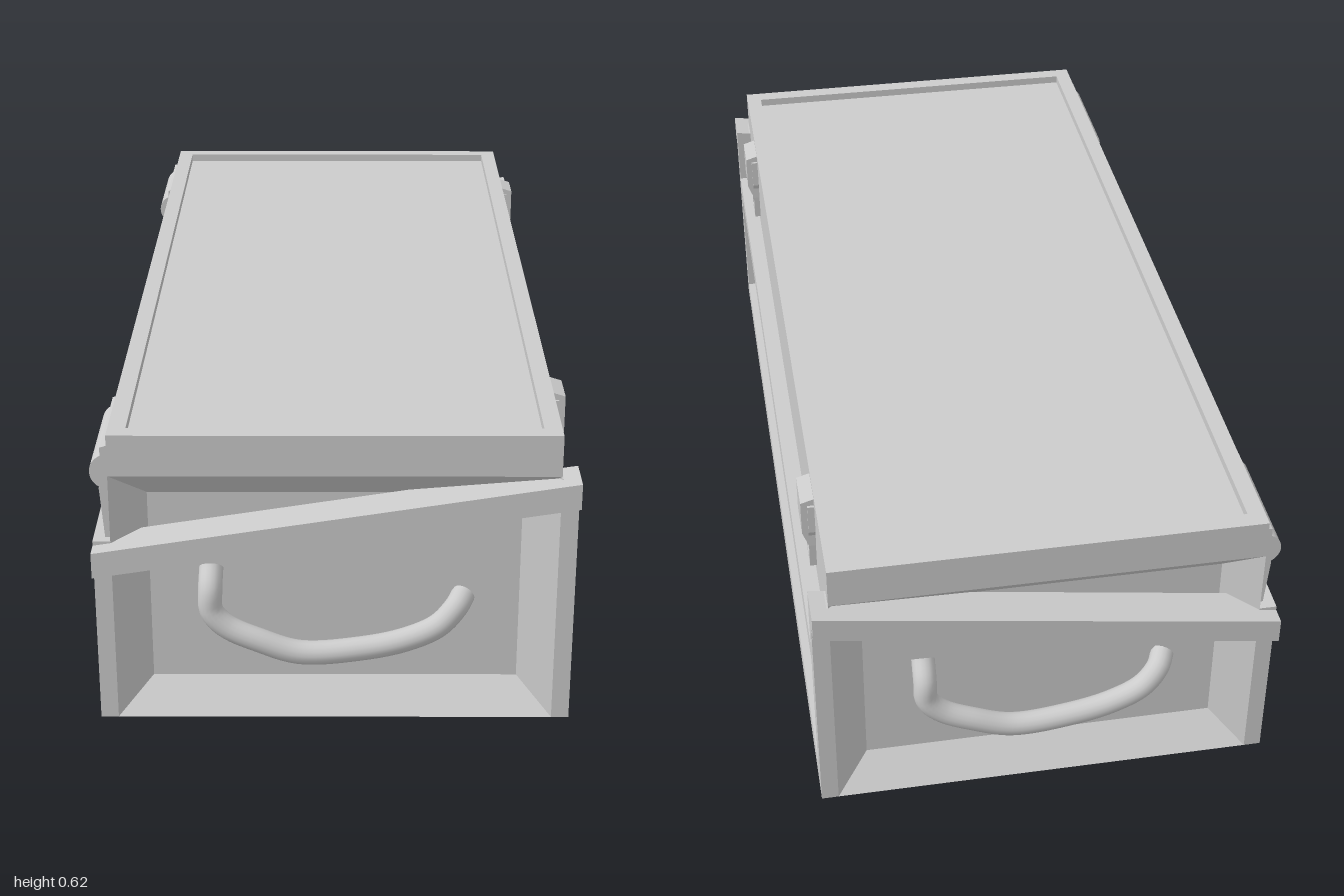
import * as THREE from 'three';

const material = new THREE.MeshStandardMaterial({ color: 0xcccccc });

function add(parent, name, geometry) {
  const mesh = new THREE.Mesh(geometry, material);
  mesh.name = name;
  parent.add(mesh);
  return mesh;
}

const shapeOf = (pts) => new THREE.Shape(pts.map(([x, y]) => new THREE.Vector2(x, y)));

function rectPath(x0, x1, y0, y1) {
  return new THREE.Path([[x0, y0], [x1, y0], [x1, y1], [x0, y1]].map(([x, y]) => new THREE.Vector2(x, y)));
}

const extrude = (shape, depth) => new THREE.ExtrudeGeometry(shape, { depth, bevelEnabled: false, curveSegments: 8 });

// Extrudes a (z, y) outline sideways so that its outer face lies at x
function sidePlate(shape, depth, x) {
  return extrude(shape, depth).rotateY(-Math.PI / 2).translate(x, 0, 0);
}

// Capped loft through rectangles [z, halfWidth, bottom, top]
function loft(rects) {
  const rings = rects.map(([z, w, b, t]) => [[-w, b, z], [w, b, z], [w, t, z], [-w, t, z]]);
  const pos = [];
  const quad = (a, b, c, d) => pos.push(...a, ...b, ...c, ...a, ...c, ...d);
  const first = rings[0];
  quad(first[3], first[2], first[1], first[0]);
  for (let r = 0; r + 1 < rings.length; r++) {
    for (let i = 0; i < 4; i++) {
      const j = (i + 1) % 4;
      quad(rings[r][i], rings[r][j], rings[r + 1][j], rings[r + 1][i]);
    }
  }
  quad(...rings[rings.length - 1]);
  const g = new THREE.BufferGeometry();
  g.setAttribute('position', new THREE.Float32BufferAttribute(pos, 3));
  g.computeVertexNormals();
  return g;
}

function createHandle() {
  const handle = new THREE.Group();
  handle.name = 'handle';
  const path = new THREE.CatmullRomCurve3([
    [-0.245, 0.308, 0.905], [-0.246, 0.275, 0.938], [-0.244, 0.232, 0.945], [-0.215, 0.2, 0.95],
    [-0.15, 0.172, 0.957], [-0.07, 0.147, 0.96], [0.05, 0.155, 0.96], [0.14, 0.174, 0.957],
    [0.205, 0.202, 0.95], [0.24, 0.235, 0.935], [0.256, 0.248, 0.905],
  ].map((p) => new THREE.Vector3(...p)));
  add(handle, 'handleGrip', new THREE.TubeGeometry(path, 60, 0.024, 16));
  return handle;
}

function createLatch() {
  const latch = new THREE.Group();
  latch.name = 'latch';
  // Tapered back plate with a square catch opening
  const plate = shapeOf([[-0.032, 0.428], [0.032, 0.428], [0.036, 0.505], [0.048, 0.53],
    [0.048, 0.595], [-0.048, 0.595], [-0.048, 0.53], [-0.036, 0.505]]);
  plate.holes.push(rectPath(-0.02, 0.02, 0.44, 0.48));
  add(latch, 'latchPlate', sidePlate(plate, 0.016, 0.449));
  // Raised lever seen from the side, with a sloping top
  const lever = shapeOf([[0.43, 0.49], [0.449, 0.49], [0.462, 0.525], [0.462, 0.602], [0.43, 0.612]]);
  add(latch, 'latchLever', extrude(lever, 0.084).translate(0, 0, -0.042));
  return latch;
}

export function createModel() {
  const box = new THREE.Group();
  box.name = 'storageBox';

  // Core with bevelled, recessed end panels
  add(box, 'body', loft([
    [-0.905, 0.367, 0.063, 0.473], [-0.965, 0.435, 0, 0.535],
    [0.965, 0.435, 0, 0.535], [0.905, 0.367, 0.063, 0.473],
  ]));

  // Lid with a raised rim around a sunken top
  add(box, 'lid', new THREE.BoxGeometry(0.87, 0.067, 1.93).translate(0, 0.5685, 0));
  const rim = shapeOf([[-0.435, -0.965], [0.435, -0.965], [0.435, 0.965], [-0.435, 0.965]]);
  rim.holes.push(rectPath(-0.4, 0.4, -0.93, 0.93));
  add(box, 'lidRim', extrude(rim, 0.018).rotateX(-Math.PI / 2).translate(0, 0.602, 0));

  // Side frames: the left one carries short corner posts
  const postFrame = shapeOf([[-0.965, 0], [0.965, 0], [0.965, 0.53], [0.915, 0.53], [0.915, 0.395],
    [-0.915, 0.395], [-0.915, 0.53], [-0.965, 0.53]]);
  const plainFrame = shapeOf([[-0.965, 0], [0.965, 0], [0.965, 0.395], [-0.965, 0.395]]);
  for (const frame of [postFrame, plainFrame]) frame.holes.push(rectPath(-0.912, 0.912, 0.054, 0.346));
  add(box, 'leftFrame', sidePlate(postFrame, 0.035, 0.47));
  add(box, 'rightFrame', sidePlate(plainFrame, 0.035, -0.435));

  // Slanted end bands
  const band = shapeOf([[-0.47, 0.333], [0.47, 0.482], [0.47, 0.535], [-0.47, 0.386]]);
  for (const z of [0.915, -1]) add(box, 'endBand', extrude(band, 0.085).translate(0, 0, z));

  // Hinge: leaf, rolled knuckle and upper lip in one profile
  const hinge = shapeOf([[-0.43, 0.395], [-0.447, 0.395], [-0.455, 0.5]]);
  hinge.absarc(-0.435, 0.535, 0.037, 4.2, 2.0, true);
  hinge.lineTo(-0.45, 0.586);
  hinge.lineTo(-0.43, 0.592);
  for (const z of [0.7, -0.945]) add(box, 'hinge', extrude(hinge, 0.245).translate(0, 0, z));

  // Latches and end handles
  for (const z of [0.69, -0.69]) {
    const latch = createLatch();
    latch.position.z = z;
    box.add(latch);
  }
  for (const turn of [0, Math.PI]) {
    const handle = createHandle();
    handle.rotation.y = turn;
    box.add(handle);
  }
  return box;
}
